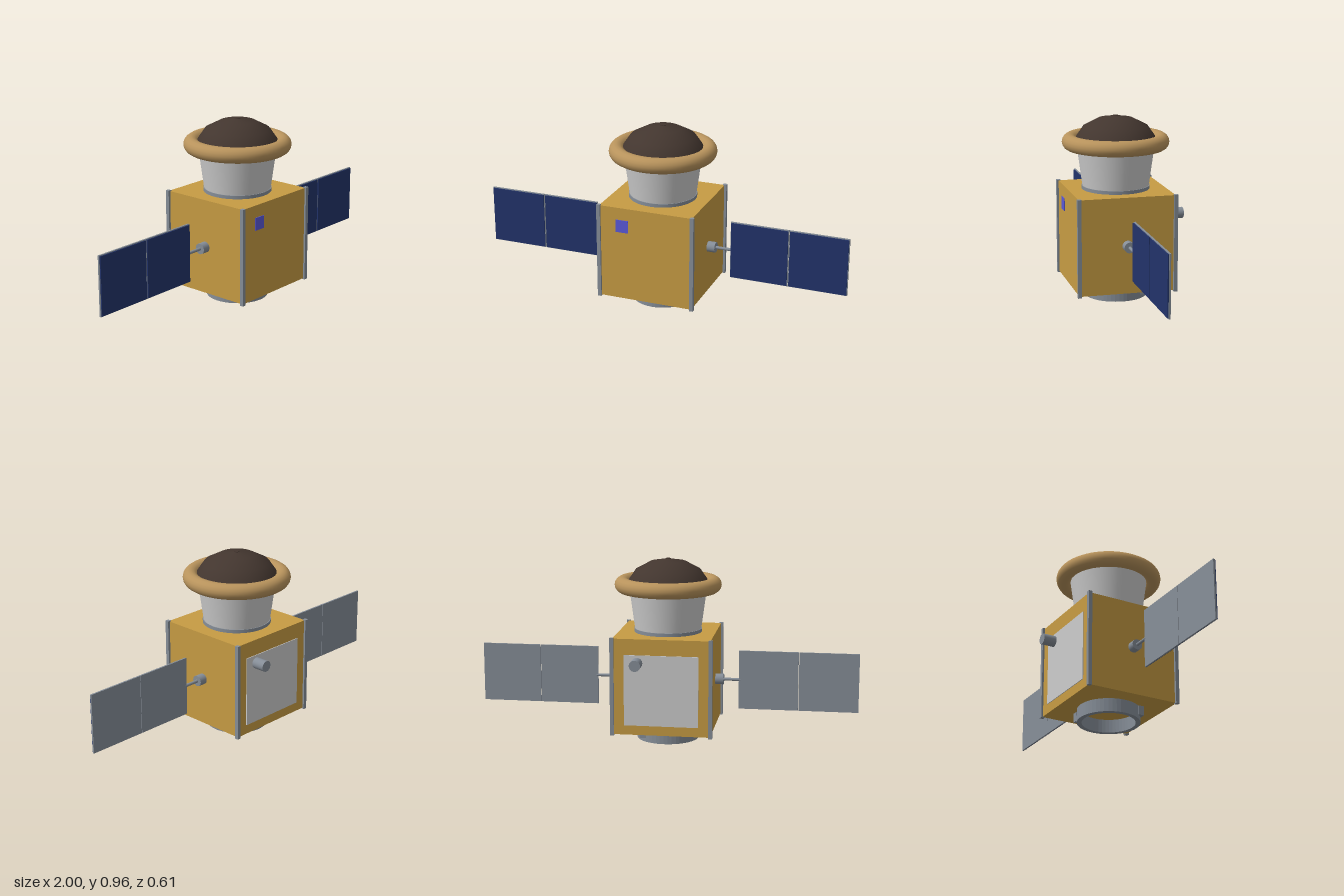
import * as THREE from 'three';

const mat = (color, extra = {}) => new THREE.MeshStandardMaterial({ color, ...extra });

export function createModel() {
  const model = new THREE.Group();
  // every part sits around the body axis, slightly forward of the origin
  const axis = new THREE.Group();
  axis.name = 'satellite';
  axis.position.z = 0.0245;
  model.add(axis);

  const gold = mat(0xc79c43), metal = mat(0x868e98), white = mat(0xd4d4d8);
  const blue = mat(0x22336a), tan = mat(0xb8935c), brown = mat(0x43362f);

  const add = (name, geometry, material, x = 0, y = 0, z = 0) => {
    const mesh = new THREE.Mesh(geometry, material);
    mesh.name = name;
    mesh.position.set(x, y, z);
    axis.add(mesh);
    return mesh;
  };
  const box = (name, w, h, d, m, x, y, z) => add(name, new THREE.BoxGeometry(w, h, d), m, x, y, z);
  const cyl = (name, rTop, rBottom, h, m, x, y, z, n = 32) =>
    add(name, new THREE.CylinderGeometry(rTop, rBottom, h, n), m, x, y, z);

  // Body with corner rails
  box('body', 0.505, 0.503, 0.505, gold, 0, 0.3215, 0);
  for (const sx of [-1, 1]) for (const sz of [-1, 1])
    box('cornerRail', 0.02, 0.512, 0.02, metal, sx * 0.2545, 0.321, sz * 0.2525);

  // Hollow adapter ring underneath, with two blocks through its wall
  const ring = new THREE.Shape().absarc(0, 0, 0.163, 0, Math.PI * 2);
  ring.holes.push(new THREE.Path().absarc(0, 0, 0.138, 0, Math.PI * 2, true));
  const ringGeometry = new THREE.ExtrudeGeometry(ring, { depth: 0.072, bevelEnabled: false, curveSegments: 24 });
  ringGeometry.rotateX(-Math.PI / 2);
  add('adapterRing', ringGeometry, metal);
  for (const s of [-1, 1])
    box('ringBlock', 0.034, 0.05, 0.034, metal, s * 0.1155, 0.046, -s * 0.1155);

  // Neck, padded rim and dome
  cyl('collar', 0.178, 0.178, 0.02, metal, 0, 0.581, 0, 48);
  cyl('neck', 0.204, 0.174, 0.22, white, 0, 0.7, 0, 48);
  const rim = new THREE.TorusGeometry(0.238, 0.041, 16, 64);
  rim.rotateX(Math.PI / 2);
  add('rim', rim, tan, 0, 0.82, 0);
  const dome = [[0.22, 0.8], [0.214, 0.833], [0.168, 0.9], [0.092, 0.94], [0, 0.956]]
    .map(([r, y]) => new THREE.Vector2(r, y));
  add('dome', new THREE.LatheGeometry(dome, 32), brown);
  cyl('domeCap', 0.015, 0.015, 0.008, brown, 0, 0.952, 0, 16);

  // Solar wings on both sides
  for (const s of [-1, 1]) {
    cyl('wingHub', 0.028, 0.028, 0.045, metal, s * 0.273, 0.322, 0, 24).rotation.z = Math.PI / 2;
    cyl('wingBoom', 0.008, 0.008, 0.1, metal, s * 0.335, 0.322, 0, 12).rotation.z = Math.PI / 2;
    for (const x of [0.5305, 0.8445]) {
      box('panelBacking', 0.311, 0.311, 0.009, metal, s * x, 0.322, -0.002);
      box('solarCells', 0.304, 0.303, 0.006, blue, s * x, 0.322, 0.0052);
    }
  }

  // Small equipment: front sensor, rear radiator plate and rear tube
  box('frontSensor', 0.068, 0.067, 0.006, mat(0x5a58d8), -0.126, 0.4745, 0.2535);
  box('radiator', 0.385, 0.37, 0.008, mat(0xcccccc), 0, 0.305, -0.2525);
  cyl('rearTube', 0.029, 0.029, 0.085, metal, 0.124, 0.449, -0.285, 24).rotation.x = Math.PI / 2;

  return model;
}
